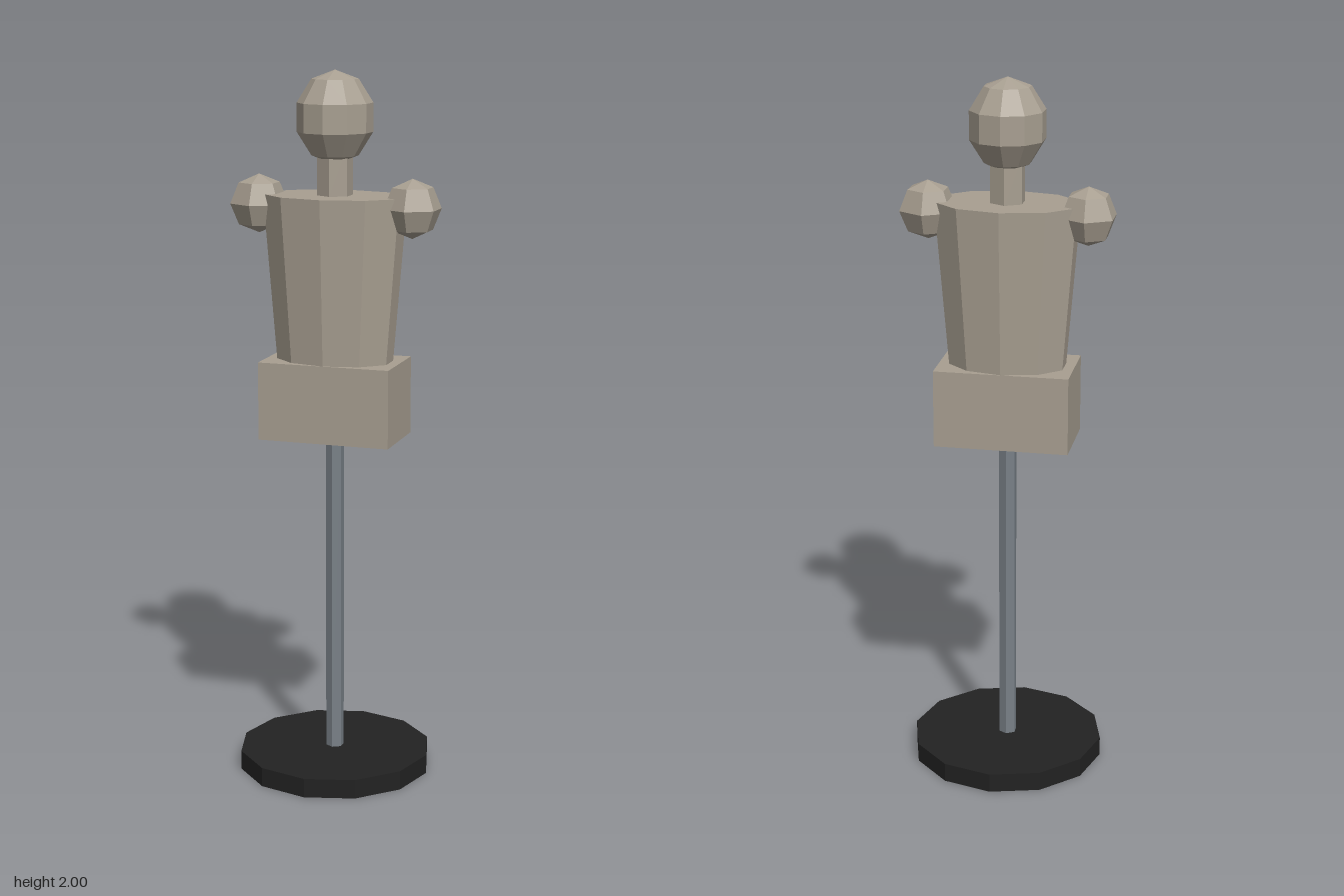
import * as THREE from 'three';

export function createModel() {
  const model = new THREE.Group();
  model.name = 'trainingDummy';

  const material = (name, color) => {
    const m = new THREE.MeshStandardMaterial({ color, flatShading: true });
    m.name = name;
    return m;
  };
  const clay = material('warmGrey', 0xa89f91);
  const steel = material('steelGrey', 0x788087);
  const black = material('black', 0x222222);

  const add = (name, geometry, mat, x, y) => {
    const mesh = new THREE.Mesh(geometry, mat);
    mesh.name = name;
    mesh.position.set(x, y, 0);
    model.add(mesh);
    return mesh;
  };
  // Upright prism standing between two heights
  const column = (name, rTop, rBottom, y0, y1, sides, mat) =>
    add(name, new THREE.CylinderGeometry(rTop, rBottom, y1 - y0, sides), mat, 0, (y0 + y1) / 2);
  // Faceted ball with a corner facing the front
  const ball = (r, sides, rings) => new THREE.SphereGeometry(r, sides, rings).rotateY(Math.PI / 2);

  // Stand
  column('base', 0.277, 0.277, 0, 0.055, 12, black);
  column('pole', 0.026, 0.026, 0.055, 0.98, 6, steel);

  // Body
  add('pelvis', new THREE.BoxGeometry(0.378, 0.22, 0.22), clay, 0, 1.09);
  const torso = column('torso', 0.206, 0.168, 1.2, 1.66, 10, clay);
  torso.scale.z = 0.645;

  // Neck and head
  column('neck', 0.05, 0.05, 1.66, 1.79, 6, clay);
  const head = add('head', ball(0.11, 10, 5), clay, 0, 1.872);
  head.scale.y = 0.128 / 0.11;

  // Shoulder joints
  for (const [name, side] of [['leftShoulder', 1], ['rightShoulder', -1]]) {
    add(name, ball(0.082, 6, 4), clay, side * 0.222, 1.63);
  }

  return model;
}
